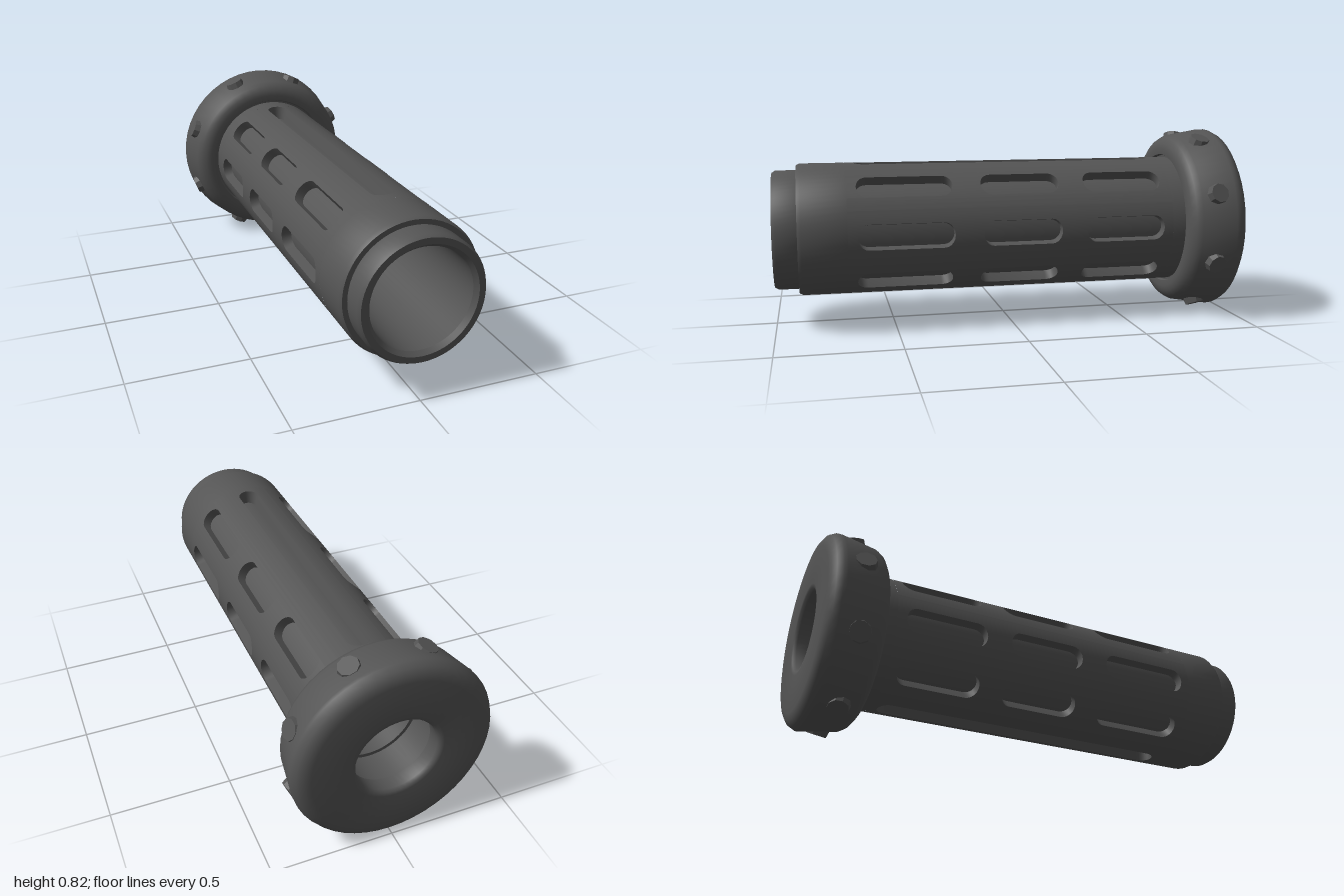
import * as THREE from 'three';
import { toCreasedNormals } from 'three/addons/utils/BufferGeometryUtils.js';

const CENTER_Y = 0.413, GRIP_R = 0.282, CORE_R = 0.214, END = 0.7;
const SLOT_ROUND = 0.045;

// Revolve a closed [radius, z] profile around the z axis.
function revolve(profile, segments, crease) {
  const pts = profile.concat([profile[0]]).map(([r, z]) => new THREE.Vector2(r, z));
  return toCreasedNormals(new THREE.LatheGeometry(pts, segments).rotateX(Math.PI / 2), crease);
}

// One eighth of the grip skin, with round-ended slots of a half angle and floor radius.
function slottedPanel(slots, half, floorR) {
  const pos = [];
  const pt = (r, t, z) => [r * Math.sin(t), r * Math.cos(t), z];
  const quad = (a, b, c, d) => pos.push(...a, ...b, ...c, ...a, ...c, ...d);
  const skin = (r, t0, t1, a0, a1, b0, b1) => quad(
    pt(r, t0, a0), pt(r, t0, b0), pt(r, t1, b1), pt(r, t1, a1));
  const wall = (t0, z0, t1, z1) => quad(
    pt(GRIP_R, t0, z0), pt(floorR, t0, z0), pt(floorR, t1, z1), pt(GRIP_R, t1, z1));

  // Solid strips on either side of the slots
  const edge = Math.PI / 8, n = 3;
  for (let i = 0; i < n; i++) {
    const t0 = half + (edge - half) * i / n, t1 = half + (edge - half) * (i + 1) / n;
    skin(GRIP_R, t0, t1, -END, -END, END, END);
    skin(GRIP_R, -t1, -t0, -END, -END, END, END);
  }
  // Lands between the slots, rounded slot ends and slot floors
  const cols = 10;
  for (let i = 0; i < cols; i++) {
    const [p0, p1] = [i, i + 1].map(k => -Math.PI / 2 + Math.PI * k / cols);
    const t0 = half * Math.sin(p0), t1 = half * Math.sin(p1);
    const in0 = SLOT_ROUND * (1 - Math.cos(p0)), in1 = SLOT_ROUND * (1 - Math.cos(p1));
    let a0 = -END, a1 = -END;
    for (const [za, zb] of slots) {
      skin(GRIP_R, t0, t1, a0, a1, za + in0, za + in1);
      wall(t0, za + in0, t1, za + in1);
      a0 = zb - in0;
      a1 = zb - in1;
      wall(t1, a1, t0, a0);
      skin(floorR, t0, t1, za + in0, za + in1, a0, a1);
    }
    skin(GRIP_R, t0, t1, a0, a1, END, END);
  }
  // Long slot walls
  for (const [za, zb] of slots) {
    wall(-half, zb - SLOT_ROUND, -half, za + SLOT_ROUND);
    wall(half, za + SLOT_ROUND, half, zb - SLOT_ROUND);
  }
  const geo = new THREE.BufferGeometry();
  geo.setAttribute('position', new THREE.Float32BufferAttribute(pos, 3));
  return toCreasedNormals(geo, 0.6);
}

export function createModel() {
  const model = new THREE.Group();
  model.name = 'handleGrip';
  const rubber = new THREE.MeshStandardMaterial({ color: 0x555555 });
  rubber.name = 'dark grey rubber';
  const add = (name, geo) => {
    const mesh = new THREE.Mesh(geo, rubber);
    mesh.name = name;
    mesh.position.y = CENTER_Y;
    model.add(mesh);
    return mesh;
  };

  // Inner sleeve with solid collars, stepped tip, bevelled mouth and bore
  add('sleeve', revolve([
    [GRIP_R, -0.77], [GRIP_R, -END], [CORE_R, -END], [CORE_R, END], [GRIP_R, END],
    [GRIP_R, 0.885], [0.274, 0.9], [0.254, 0.9], [0.254, 0.985], [0.245, 1],
    [0.22, 1], [0.205, 0.98], [0.203, -0.6], [0.185, -0.62], [0.185, -0.77],
  ], 64, 0.6));

  // Flared end flange with rounded edges and a narrower lip in the bore
  add('flange', revolve([
    [0.167, -0.985], [0.175, -0.997], [0.19, -1], [0.345, -1], [0.372, -0.995],
    [0.395, -0.98], [0.408, -0.955], [0.408, -0.94], [0.384, -0.795], [0.37, -0.772],
    [0.345, -0.755], [0.32, -0.75], [0.295, -0.752], [0.29, -0.765], [0.2, -0.765],
    [0.2, -0.93], [0.167, -0.93],
  ], 48, 0.9));

  // Eight grip panels: one deep long slot at top and bottom, three short ones elsewhere
  const longSlot = slottedPanel([[-0.67, 0.66]], 0.168, 0.22);
  const shortSlots = slottedPanel([[-0.66, -0.31], [-0.2, 0.14], [0.26, 0.66]], 0.19, 0.24);
  for (let i = 0; i < 8; i++) {
    add('gripPanel', i % 4 ? shortSlots : longSlot).rotation.z = i * Math.PI / 4;
  }

  // Low studs around the flange rim, tilted with its taper
  const studGeo = toCreasedNormals(new THREE.CylinderGeometry(0.042, 0.05, 0.04, 9), 0.6)
    .rotateX(-0.14).translate(0, 0.39, -0.866);
  for (let i = 0; i < 8; i++) {
    add('rimStud', studGeo).rotation.z = (i + 0.5) * Math.PI / 4;
  }
  return model;
}
